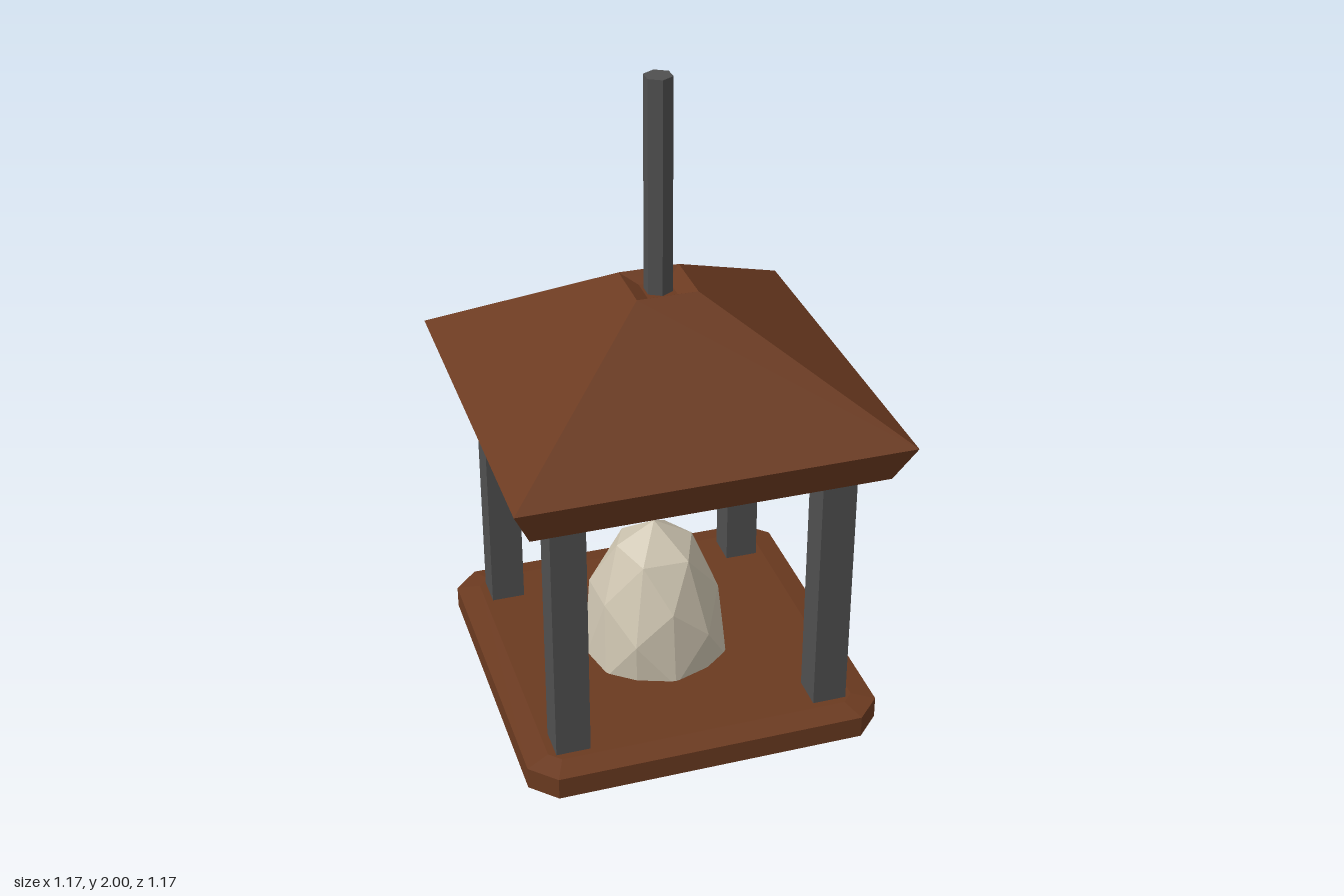
import * as THREE from 'three';

const material = (color) => new THREE.MeshStandardMaterial({ color, flatShading: true });

export function createModel() {
  const group = new THREE.Group();
  const wood = material(0x6b3a20);
  const iron = material(0x505050);
  const stone = material(0xcbc2ae);

  const add = (name, geometry, mat, x = 0, y = 0, z = 0) => {
    const mesh = new THREE.Mesh(geometry, mat);
    mesh.name = name;
    mesh.position.set(x, y, z);
    group.add(mesh);
    return mesh;
  };

  // Base: square slab with clipped corners and shallow bevels
  const h = 0.55, c = 0.475;
  const outline = new THREE.Shape([
    [c, -h], [h, -c], [h, c], [c, h], [-c, h], [-h, c], [-h, -c], [-c, -h],
  ].map(([x, y]) => new THREE.Vector2(x, y)));
  const slab = new THREE.ExtrudeGeometry(outline, {
    depth: 0.07, bevelEnabled: true, bevelSegments: 1,
    bevelThickness: 0.014, bevelSize: 0.07, bevelOffset: -0.07,
  });
  slab.rotateX(-Math.PI / 2);
  add('base', slab, wood, 0, 0.014, 0);

  // Four square corner posts
  for (const x of [-1, 1]) {
    for (const z of [-1, 1]) {
      const name = (z > 0 ? 'front' : 'back') + (x > 0 ? 'Left' : 'Right') + 'Post';
      add(name, new THREE.BoxGeometry(0.105, 0.86, 0.105), iron, x * 0.405, 0.51, z * 0.405);
    }
  }

  // Roof: four-sided hip with flared eaves, flat underside and a dished top
  const profile = [
    [0, 0.92], [0.53, 0.92], [0.583, 1.04], [0.092, 1.37], [0.045, 1.345], [0, 1.345],
  ].map(([half, y]) => new THREE.Vector2(half * Math.SQRT2, y));
  add('roof', new THREE.LatheGeometry(profile, 4, Math.PI / 4), wood);

  // Hexagonal hanging rod
  add('rod', new THREE.CylinderGeometry(0.043, 0.043, 0.68, 6), iron, 0, 1.66, 0);

  // Faceted stone: stretched icosphere, slightly uneven, cut off inside the base
  const rock = new THREE.IcosahedronGeometry(1, 1);
  const p = rock.attributes.position;
  for (let i = 0; i < p.count; i++) {
    const x = p.getX(i), y = p.getY(i), z = p.getZ(i);
    const wobble = 1 + 0.025 * Math.sin(7 * x + 4 * y + 5 * z);
    p.setXYZ(i, x * 0.23 * wobble - 0.014, Math.max(0.06, 0.08 + y * 0.47), z * 0.237 * wobble);
  }
  rock.computeVertexNormals();
  add('stone', rock, stone);

  return group;
}
